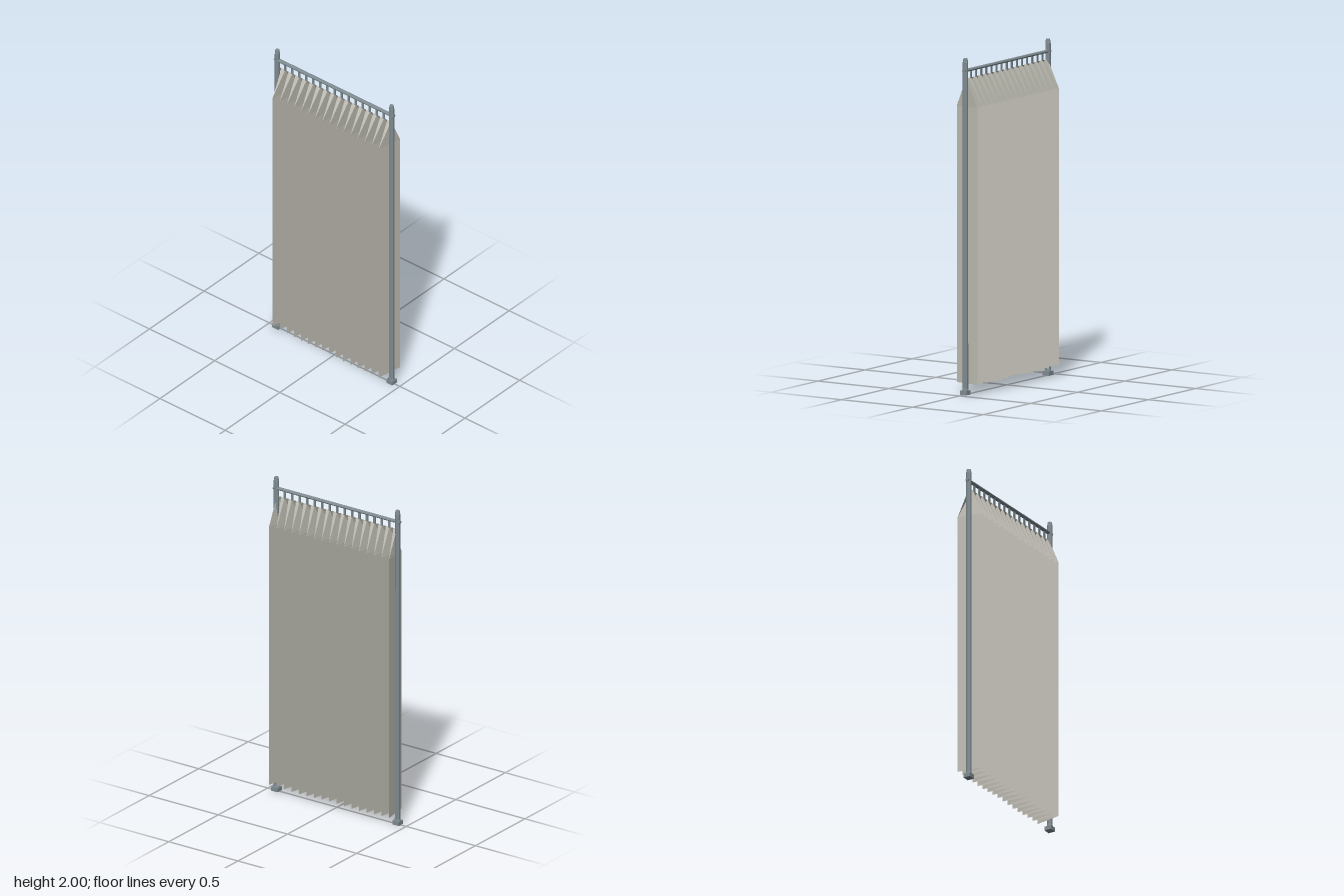
import * as THREE from 'three';

export function createModel() {
  const root = new THREE.Group();
  root.name = 'pleatedCurtainScreen';

  const steel = new THREE.MeshStandardMaterial({ color: 0x7f8c92, flatShading: true });
  steel.name = 'blue grey steel';
  const cloth = new THREE.MeshStandardMaterial({ color: 0xc0beb4, flatShading: true, side: THREE.DoubleSide });
  cloth.name = 'warm grey cloth';

  const add = (parent, name, geometry, material, x = 0, y = 0, z = 0) => {
    const mesh = new THREE.Mesh(geometry, material);
    mesh.name = name;
    mesh.position.set(x, y, z);
    parent.add(mesh);
    return mesh;
  };

  // Posts: square foot, flared collar, octagonal pole with a bevelled tip
  const profile = [[0, 0.02], [0.02, 0.02], [0.017, 0.04], [0.0165, 1.975], [0.0125, 2], [0, 2]]
    .map(([r, y]) => new THREE.Vector2(r, y));
  for (const side of [-1, 1]) {
    const post = new THREE.Group();
    post.name = side > 0 ? 'leftPost' : 'rightPost';
    post.position.x = side * 0.438;
    add(post, 'foot', new THREE.BoxGeometry(0.046, 0.025, 0.044), steel, 0, 0.0125, 0);
    add(post, 'pole', new THREE.LatheGeometry(profile, 8, Math.PI / 8), steel);
    root.add(post);
  }

  // Rail through both posts
  const rail = add(root, 'rail', new THREE.CylinderGeometry(0.01, 0.01, 0.914, 8), steel, 0, 1.928, 0);
  rail.rotation.z = Math.PI / 2;
  rail.scale.z = 1.2;

  // Hangers, one for each pleat
  const pleats = 16, halfWidth = 0.433;
  const step = 2 * halfWidth / pleats;
  for (let i = 0; i <= pleats; i++) {
    add(root, 'hanger', new THREE.BoxGeometry(0.014, 0.046, 0.006), steel, -halfWidth + i * step, 1.899, 0);
  }

  // Curtain: zigzag folds that gather flat at the top
  const positions = [], indices = [];
  const columns = pleats * 2;
  for (let i = 0; i <= columns; i++) {
    const x = -halfWidth + i * step / 2;
    const fold = i % 2 ? 1 : -1;
    const hem = 0.06 + 0.004 * Math.cos(x * 16);
    positions.push(x, 1.88, fold * 0.002, x, 1.71, fold * 0.082, x, hem, fold * 0.082);
    if (i === columns) continue;
    for (let row = 0; row < 2; row++) {
      const a = i * 3 + row, b = a + 3;
      indices.push(a, a + 1, b, b, a + 1, b + 1);
    }
  }
  let curtain = new THREE.BufferGeometry();
  curtain.setAttribute('position', new THREE.Float32BufferAttribute(positions, 3));
  curtain.setIndex(indices);
  curtain = curtain.toNonIndexed();
  curtain.computeVertexNormals();
  add(root, 'curtain', curtain, cloth);

  return root;
}
